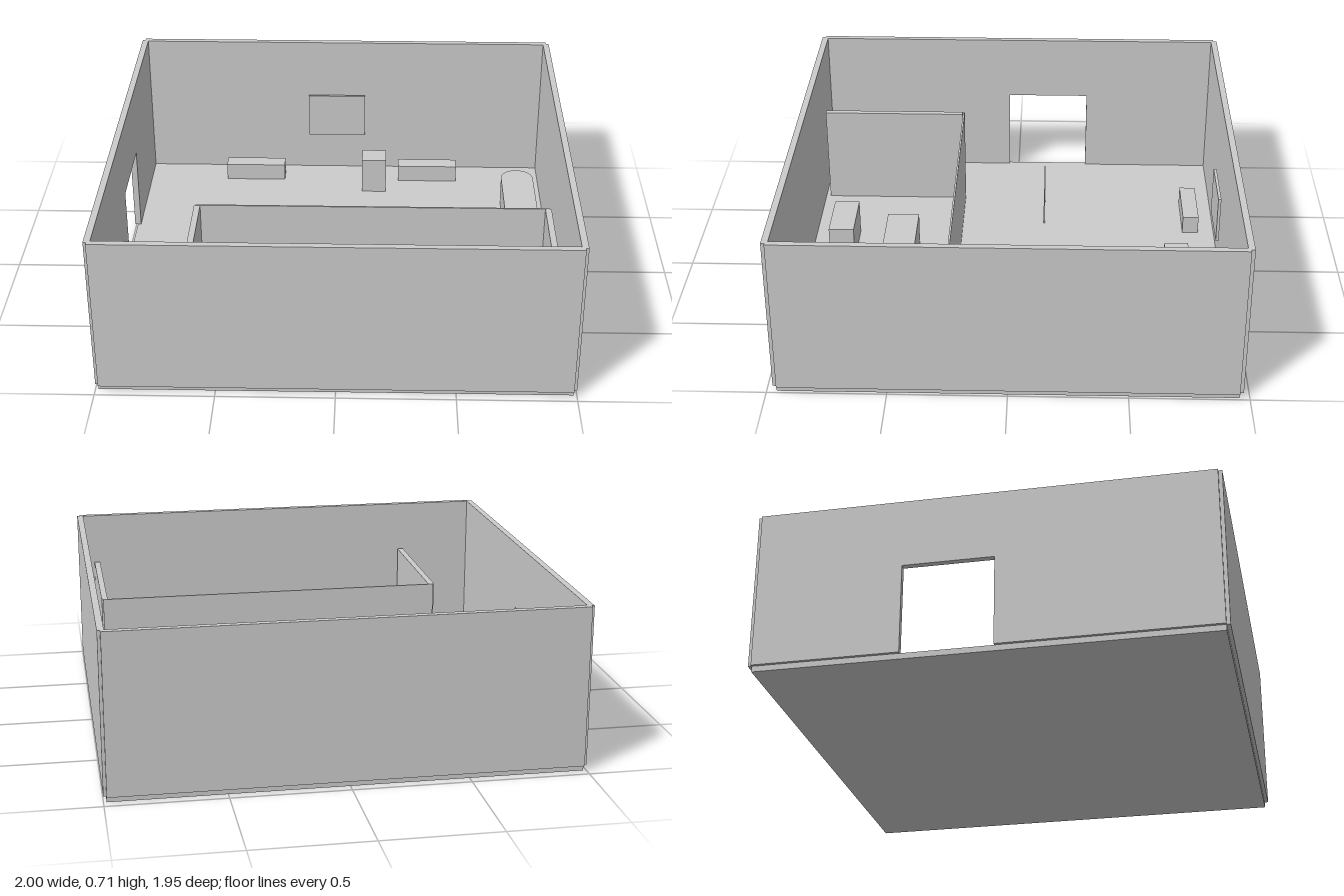
import * as THREE from 'three';

export function createModel() {
  const group = new THREE.Group();
  const plaster = new THREE.MeshStandardMaterial({ color: 0xcccccc });
  plaster.name = 'lightGrey';

  const FLOOR = 0.025, WALL_TOP = 0.715, PARTITION_TOP = 0.485;

  function add(name, geometry) {
    const mesh = new THREE.Mesh(geometry, plaster);
    mesh.name = name;
    group.add(mesh);
    return mesh;
  }

  // Box given by its limits on each axis
  function block(name, x0, x1, y0, y1, z0, z1) {
    add(name, new THREE.BoxGeometry(x1 - x0, y1 - y0, z1 - z0))
      .position.set((x0 + x1) / 2, (y0 + y1) / 2, (z0 + z1) / 2);
  }

  // Round-ended block lying along z
  function pill(name, x, z, width, length, height) {
    const r = width / 2, h = length / 2 - r;
    const shape = new THREE.Shape();
    shape.absarc(0, h, r, 0, Math.PI);
    shape.absarc(0, -h, r, Math.PI, Math.PI * 2);
    shape.closePath();
    const geo = new THREE.ExtrudeGeometry(shape, { depth: height, bevelEnabled: false, curveSegments: 16 });
    geo.rotateX(-Math.PI / 2);
    add(name, geo).position.set(x, FLOOR, z);
  }

  // Shell: floor slab and outer walls, leaving small notches at the corners
  block('floor', -0.987, 0.987, 0, FLOOR, -0.958, 0.958);
  block('frontWall', -0.987, 0.987, FLOOR, WALL_TOP, 0.946, 0.974);
  block('backWall', -0.987, 0.987, FLOOR, WALL_TOP, -0.974, -0.946);
  block('leftWall', 0.972, 1, FLOOR, WALL_TOP, -0.958, 0.958);

  // Right wall with a doorway; the outline is drawn along z and y
  const outline = [[-0.958, FLOOR], [-0.34, FLOOR], [-0.34, 0.415], [0.045, 0.415],
    [0.045, FLOOR], [0.958, FLOOR], [0.958, WALL_TOP], [-0.958, WALL_TOP]];
  const wall = new THREE.Shape(outline.map(([z, y]) => new THREE.Vector2(-z, y)));
  const wallGeo = new THREE.ExtrudeGeometry(wall, { depth: 0.028, bevelEnabled: false });
  wallGeo.rotateY(Math.PI / 2);
  add('rightWallWithDoorway', wallGeo).position.x = -1;

  // Inner room partitions
  block('partitionBack', -0.63, 0.918, FLOOR, PARTITION_TOP, 0.254, 0.262);
  block('partitionRight', -0.637, -0.61, FLOOR, PARTITION_TOP, 0.264, 0.925);
  block('partitionLeft', 0.898, 0.925, FLOOR, PARTITION_TOP, 0.264, 0.925);

  // Back room: board, low benches, thin screens, cabinets
  block('wallBoard', -0.18, 0.1, 0.22, 0.437, -0.928, -0.915);
  for (const x of [-0.59, 0.27]) block('bench', x, x + 0.29, FLOOR, 0.107, -0.872, -0.798);
  for (const x of [-0.66, 0.427]) block('screen', x, x + 0.291, FLOOR, 0.18, -0.14, -0.134);
  block('stand', 0.09, 0.208, FLOOR, 0.2, -0.792, -0.685);
  block('cabinet', 0.42, 0.64, FLOOR, 0.202, 0.122, 0.222);
  pill('longRoundedSeat', 0.85, -0.427, 0.155, 0.51, 0.13);

  // Front room furniture
  block('desk', -0.173, 0.283, FLOOR, 0.18, 0.449, 0.594);
  block('deskPedestal', 0.227, 0.307, FLOOR, 0.22, 0.554, 0.637);
  block('sideboard', -0.275, -0.015, FLOOR, 0.185, 0.74, 0.855);
  pill('shortRoundedSeat', 0.817, 0.73, 0.11, 0.19, 0.1);

  return group;
}
